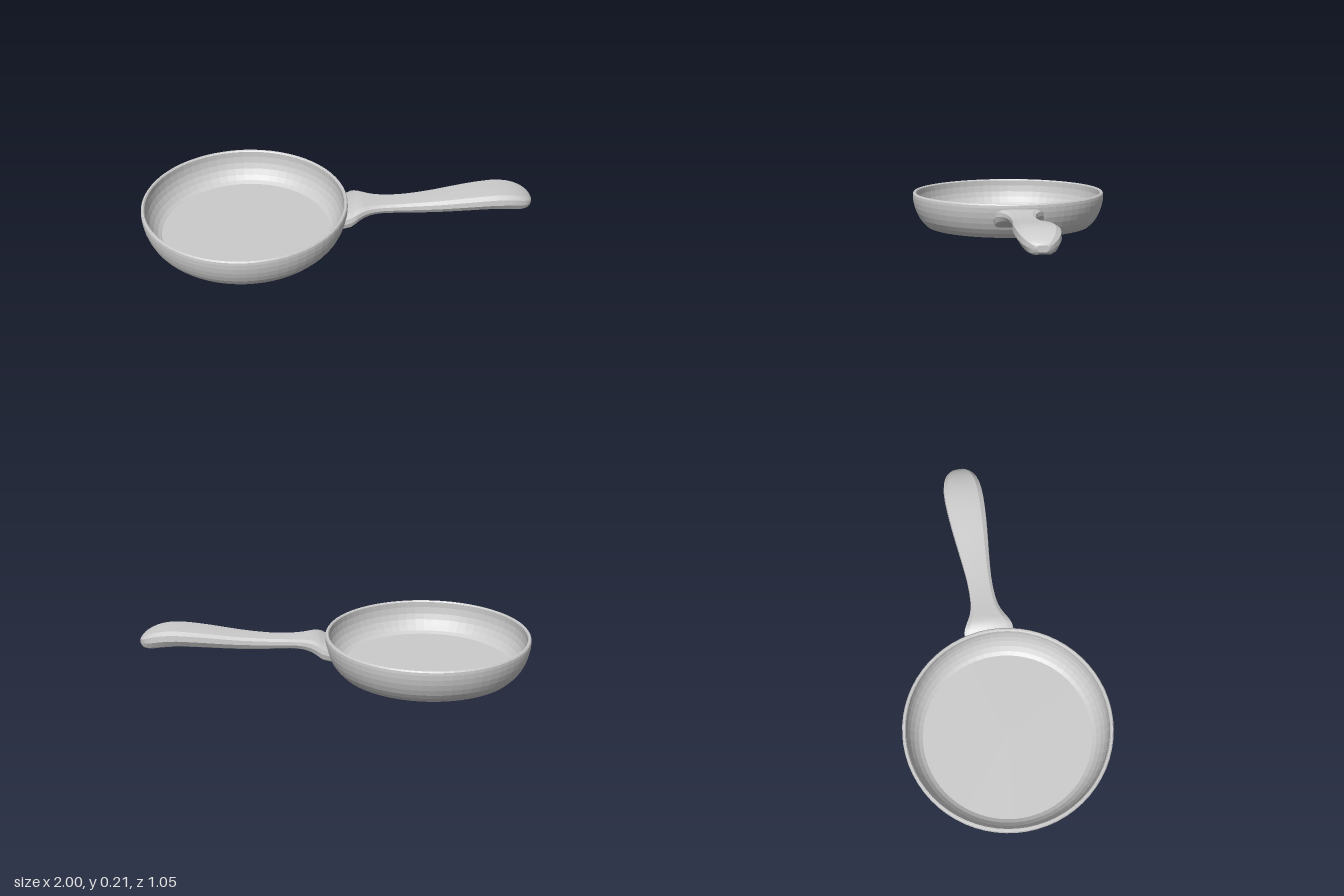
import * as THREE from 'three';
import { toCreasedNormals } from 'three/addons/utils/BufferGeometryUtils.js';

const PAN_X = -0.475;
const v2 = (list) => list.map(([x, y]) => new THREE.Vector2(x, y));

// Outer wall profile: radius, height
const OUTER = [[0.45, 0.003], [0.475, 0.025], [0.493, 0.05], [0.507, 0.08], [0.517, 0.11],
  [0.523, 0.14], [0.525, 0.165], [0.524, 0.179], [0.519, 0.186]];
const INNER = [[0.511, 0.186], [0.506, 0.18], [0.506, 0.15], [0.5, 0.115], [0.489, 0.085],
  [0.471, 0.056], [0.45, 0.034], [0.43, 0.022], [0, 0.022]];

function wallRadius(y) {
  for (let i = 1; i < OUTER.length; i++) {
    const [r0, y0] = OUTER[i - 1], [r1, y1] = OUTER[i];
    if (y <= y1) return r0 + (r1 - r0) * (y - y0) / (y1 - y0);
  }
  return OUTER[OUTER.length - 1][0];
}

// Handle stations: x, underside y, top y, half width, underside width ratio
const STATIONS = [
  [0.04, 0.06, 0.142, 0.128, 0.8],
  [0.075, 0.083, 0.162, 0.127, 0.78],
  [0.11, 0.1, 0.17, 0.11, 0.72],
  [0.16, 0.109, 0.167, 0.083, 0.66],
  [0.23, 0.109, 0.163, 0.067, 0.6],
  [0.35, 0.103, 0.164, 0.065, 0.58],
  [0.5, 0.104, 0.176, 0.079, 0.56],
  [0.65, 0.112, 0.195, 0.095, 0.55],
  [0.8, 0.118, 0.209, 0.104, 0.55],
  [0.89, 0.109, 0.203, 0.098, 0.55],
  [0.95, 0.099, 0.184, 0.079, 0.55],
  [0.985, 0.102, 0.163, 0.052, 0.55],
  [1.0, 0.115, 0.146, 0.028, 0.55],
];

function handleGeometry() {
  const along = (a, b) => new THREE.CatmullRomCurve3(
    STATIONS.map((s) => new THREE.Vector3(s[0], s[a], s[b])), false, 'catmullrom');
  const heights = along(1, 2), widths = along(3, 4);
  const steps = (STATIONS.length - 1) * 2;
  const pos = [], index = [];
  let n = 0;
  for (let i = 0; i <= steps; i++) {
    const { x, y: yb, z: yt } = heights.getPoint(i / steps);
    const { y: w, z: bw } = widths.getPoint(i / steps);
    // One side of the section from underside to crown, then mirrored
    const half = [[bw, 0], [(bw + 1) / 2 + 0.04, 0.14], [1, 0.48], [0.97, 0.8], [0.74, 0.97]];
    const ring = [...half.map(([u, v]) => [-u, v]), [0, 1],
      ...half.slice().reverse(), [0, 0.03]];
    n = ring.length;
    for (const [u, v] of ring) {
      const y = yb + (yt - yb) * v, z = u * w;
      // The first ring is seated in the curved pan wall
      const seat = PAN_X + Math.sqrt((wallRadius(y) - 0.008) ** 2 - z * z);
      pos.push(i === 0 ? seat : x, y, z);
    }
  }
  for (let i = 0; i < steps; i++) {
    for (let j = 0; j < n; j++) {
      const k = (j + 1) % n;
      const a = i * n + j, c = i * n + k, b = a + n, d = c + n;
      index.push(a, c, b, c, d, b);
    }
  }
  // Closed ends
  const first = pos.length / 3;
  pos.push(0.035, 0.1, 0, 1.0, 0.131, 0);
  for (let j = 0; j < n; j++) {
    const k = (j + 1) % n;
    index.push(first, k, j, first + 1, steps * n + j, steps * n + k);
  }
  const g = new THREE.BufferGeometry();
  g.setAttribute('position', new THREE.Float32BufferAttribute(pos, 3));
  g.setIndex(index);
  return toCreasedNormals(g, 0.42);
}

export function createModel() {
  const group = new THREE.Group();
  group.name = 'fryingPan';

  const pan = new THREE.Mesh(
    new THREE.LatheGeometry(v2([[0, 0.003], ...OUTER, ...INNER].map(([r, y]) => [r, y <= 0.003 ? 0 : y])), 64),
    new THREE.MeshStandardMaterial({ color: 0xcccccc, flatShading: true }));
  pan.name = 'pan';
  pan.position.x = PAN_X;
  group.add(pan);

  const handle = new THREE.Mesh(handleGeometry(), new THREE.MeshStandardMaterial({ color: 0xcccccc }));
  handle.name = 'handle';
  group.add(handle);
  return group;
}
